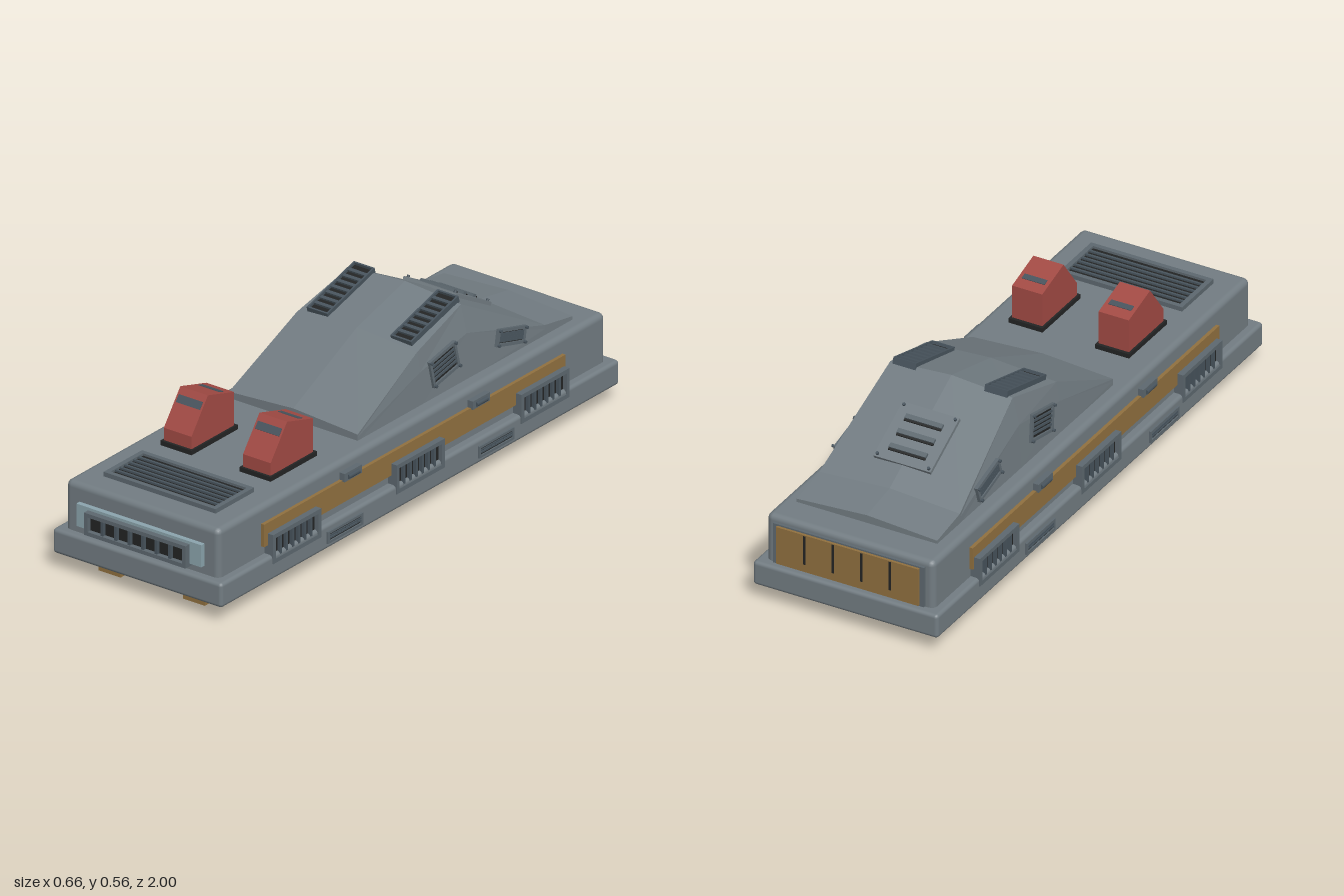
import * as THREE from 'three';
import { RoundedBoxGeometry } from 'three/addons/geometries/RoundedBoxGeometry.js';

const material = (name, color, extra = {}) => {
  const m = new THREE.MeshStandardMaterial({ color, ...extra });
  m.name = name;
  return m;
};

export function createModel() {
  const model = new THREE.Group();
  model.name = 'armouredCarrier';
  const hull = material('hullGrey', 0x727c82);
  const trim = material('trimGrey', 0x5d686f);
  const slat = material('slatBlueGrey', 0x48545d);
  const dark = material('ventBlack', 0x232424);
  const ochre = material('ochre', 0x90703f);
  const red = material('turretRed', 0xa24a44);
  const pale = material('paleBlue', 0x8ba4ad);

  const add = (name, geometry, mat, x, y, z, parent = model) => {
    const mesh = new THREE.Mesh(geometry, mat);
    mesh.name = name;
    mesh.position.set(x, y, z);
    parent.add(mesh);
    return mesh;
  };
  const box = (name, mat, w, h, d, x, y, z, parent = model) =>
    add(name, new THREE.BoxGeometry(w, h, d), mat, x, y, z, parent);
  const group = (name, x, y, z, rx = 0, ry = 0, rz = 0) => {
    const g = new THREE.Group();
    g.name = name;
    g.position.set(x, y, z);
    g.rotation.set(rx, ry, rz, 'YXZ');
    model.add(g);
    return g;
  };

  // Screw heads at the corners of a panel that faces local +z
  const screws = (parent, w, h, z) => {
    const geometry = new THREE.CylinderGeometry(0.005, 0.005, 0.01, 8).rotateX(Math.PI / 2);
    for (const sx of [-1, 1]) for (const sy of [-1, 1])
      add('screw', geometry, slat, sx * w / 2, sy * h / 2, z, parent);
  };

  // Framed vent facing local +z: dark back, rim, evenly spaced bars
  const fillVent = (g, w, h, d, rim, bars, upright, frameMat = trim, barSize = 0.008) => {
    const iw = w - 2 * rim, ih = h - 2 * rim;
    box('ventBack', dark, iw, ih, d * 0.6, 0, 0, -d * 0.2, g);
    for (const s of [-1, 1]) {
      box('ventRim', frameMat, w, rim, d, 0, s * (h - rim) / 2, 0, g);
      box('ventRim', frameMat, rim, ih, d, s * (w - rim) / 2, 0, 0, g);
    }
    for (let i = 1; i <= bars; i++) {
      const t = i / (bars + 1) - 0.5;
      if (upright) box('ventBar', slat, barSize, ih, d * 0.8, t * iw, 0, 0, g);
      else box('ventBar', slat, iw, barSize, d * 0.8, 0, t * ih, 0, g);
    }
    return g;
  };

  // Base slab and main body
  add('baseSlab', new RoundedBoxGeometry(0.65, 0.083, 1.99, 2, 0.012), hull, 0, 0.0945, -0.005);
  add('body', new RoundedBoxGeometry(0.59, 0.2, 1.932, 2, 0.02), hull, 0, 0.2, -0.003);

  // Feet: a pair in front, one in the middle at the back
  for (const s of [-1, 1]) box('frontFoot', ochre, 0.084, 0.06, 0.17, s * 0.162, 0.03, 0.83);
  box('rearFoot', ochre, 0.106, 0.06, 0.16, 0, 0.03, -0.81);

  // Cabin: cross-sections [z, height at the crown] with leaning sides and a crowned roof
  const stations = [[0.208, 0.337], [-0.11, 0.49], [-0.35, 0.555], [-0.727, 0.35], [-0.866, 0.327]];
  const halfWidth = y => 0.247 - Math.max(0, y - 0.36) * 0.11 - Math.max(0, y - 0.45) * 0.14;
  const sections = stations.map(([z, top]) => {
    const edge = top - 0.016, mid = 0.3 + (edge - 0.3) * 0.62;
    const right = [[0.247, 0.295], [halfWidth(mid), mid], [halfWidth(edge), edge]];
    return [...right, [0, top], ...right.map(([x, y]) => [-x, y]).reverse()]
      .map(([x, y]) => new THREE.Vector3(x, y, z));
  });
  const points = [];
  for (let i = 0; i < sections.length - 1; i++) {
    for (let j = 0; j < 6; j++) {
      const a = sections[i][j], b = sections[i][j + 1];
      const c = sections[i + 1][j + 1], d = sections[i + 1][j];
      points.push(a, d, c, a, c, b);
    }
  }
  const first = sections[0], last = sections[sections.length - 1];
  for (let j = 1; j < 6; j++) {
    points.push(first[0], first[j], first[j + 1]);
    points.push(last[0], last[j + 1], last[j]);
  }
  const cabinGeometry = new THREE.BufferGeometry().setFromPoints(points);
  cabinGeometry.computeVertexNormals();
  add('cabin', cabinGeometry, hull, 0, 0, 0);

  // Roof vents and slanted cabin side vents
  for (const s of [-1, 1]) {
    const roof = group('roofVent', s * 0.161, 0.518, -0.24, -Math.PI / 2 + 0.27, 0, 0);
    fillVent(roof, 0.08, 0.245, 0.022, 0.006, 7, false, slat, 0.012);
    for (const [z, y, w, h, tilt] of [[-0.225, 0.393, 0.135, 0.092, 0.19], [-0.555, 0.363, 0.142, 0.056, -0.26]]) {
      const side = group('cabinSideVent', s * (halfWidth(y) - 0.001), y, z, -0.06, s * Math.PI / 2, s * tilt);
      fillVent(side, w, h, 0.016, 0.01, 4, false, trim, 0.007);
      screws(side, w - 0.01, h - 0.01, 0.011);
    }
  }

  // Louvred hatch on the rear slope
  const hatch = group('rearHatch', 0, 0.441, -0.56, -Math.PI / 2 - 0.5, 0, 0);
  box('hatchPlate', hull, 0.2, 0.205, 0.012, 0, 0, 0, hatch);
  screws(hatch, 0.18, 0.185, 0.008);
  for (const y of [-0.055, 0, 0.055]) {
    box('louvre', trim, 0.13, 0.016, 0.012, 0, y, 0.009, hatch);
    box('louvreSlot', dark, 0.13, 0.007, 0.012, 0, y + 0.011, 0.004, hatch);
  }

  // Red turrets with vision strips
  const outline = [[0.588, 0.31], [0.588, 0.357], [0.506, 0.466], [0.376, 0.428], [0.376, 0.31]];
  const shape = new THREE.Shape(outline.map(([z, y]) => new THREE.Vector2(-z, y)));
  const turret = new THREE.ExtrudeGeometry(shape, { depth: 0.106, bevelEnabled: false });
  turret.translate(0, 0, -0.053).rotateY(Math.PI / 2);
  for (const s of [-1, 1]) {
    const x = s * 0.152;
    add('turret', turret, red, x, 0, 0);
    box('turretBase', dark, 0.12, 0.018, 0.232, x, 0.306, 0.481);
    box('frontVisionStrip', slat, 0.092, 0.026, 0.004, x, 0.436, 0.5286).rotation.x = -0.645;
    box('topVisionStrip', slat, 0.08, 0.004, 0.02, x, 0.4415, 0.422).rotation.x = -0.284;
  }

  // Hood grille, nose panel and nose grille
  fillVent(group('hoodGrille', 0, 0.305, 0.78, -Math.PI / 2), 0.43, 0.192, 0.02, 0.016, 6, false, trim, 0.008);
  box('nosePanel', pale, 0.48, 0.075, 0.02, 0, 0.2025, 0.97);
  fillVent(group('noseGrille', 0, 0.193, 0.98), 0.39, 0.075, 0.04, 0.013, 6, true, trim, 0.009);

  // Rear ochre panel with slots
  box('rearPanelFrame', trim, 0.53, 0.14, 0.02, 0, 0.208, -0.968);
  box('rearPanel', ochre, 0.5, 0.13, 0.02, 0, 0.208, -0.977);
  for (let i = 0; i < 4; i++)
    box('rearSlot', dark, 0.008, 0.1, 0.006, -0.15 + i * 0.1, 0.22, -0.986);

  // Side stripes, vents, latches and lower vents
  for (const s of [-1, 1]) {
    const turn = s * Math.PI / 2;
    box('sideStripe', ochre, 0.02, 0.076, 1.505, s * 0.297, 0.204, 0);
    for (const z of [0.615, -0.002, -0.625])
      fillVent(group('sideVent', s * 0.31, 0.157, z, 0, turn), 0.24, 0.098, 0.036, 0.014, 6, true, trim, 0.01);
    for (const z of [0.318, -0.322]) {
      box('latch', trim, 0.03, 0.028, 0.086, s * 0.3, 0.252, z);
      const knob = new THREE.CylinderGeometry(0.008, 0.008, 0.055, 8).rotateX(Math.PI / 2);
      add('latchHandle', knob, slat, s * 0.315, 0.251, z);
    }
    for (const z of [0.378, -0.378])
      fillVent(group('lowerVent', s * 0.326, 0.094, z, 0, turn), 0.175, 0.04, 0.012, 0.008, 2, false, trim, 0.005);
  }
  return model;
}
